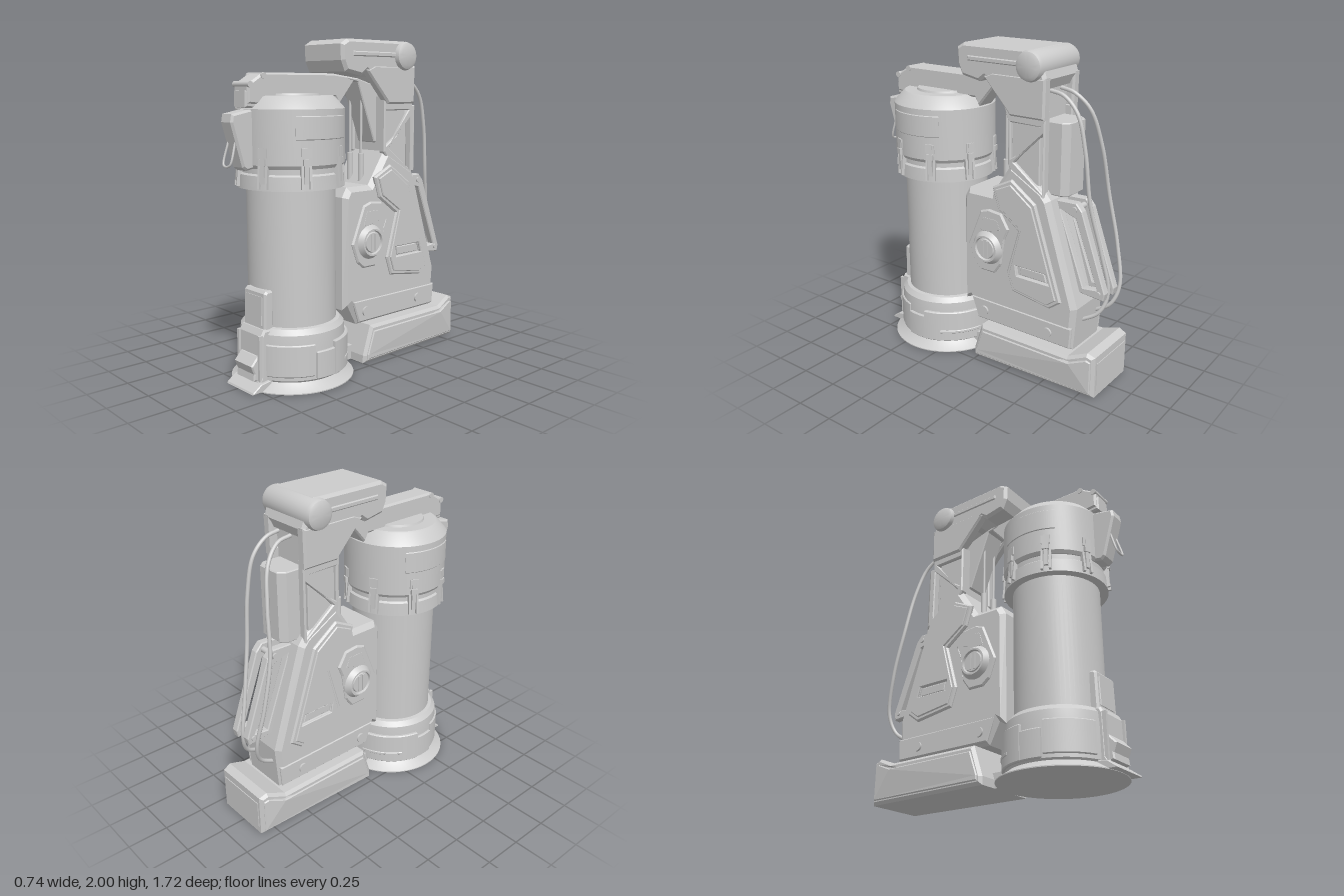
import * as THREE from 'three';
import { toCreasedNormals } from 'three/addons/utils/BufferGeometryUtils.js';

const CZ = 0.41; // canister axis
const V = (x, y, z) => new THREE.Vector3(x, y, z);
const v2 = (pts) => pts.map(([a, b]) => new THREE.Vector2(a, b));

export function createModel() {
  const root = new THREE.Group();
  const mat = new THREE.MeshStandardMaterial({ color: 0xcccccc, side: THREE.DoubleSide });

  const add = (name, geo, parent = root) => {
    const m = new THREE.Mesh(geo, mat);
    m.name = name;
    parent.add(m);
    return m;
  };
  const extrude = (shape, length, b) => new THREE.ExtrudeGeometry(shape, {
    depth: length - 2 * b, bevelEnabled: true, bevelThickness: b, bevelSize: b, bevelOffset: -b, bevelSegments: 1, curveSegments: 48,
  }).translate(0, 0, b - length / 2);
  // Bevelled plate: outline given as (z, y), thickness from x0 to x1
  const plate = (name, pts, x0, x1, b = 0.012, holes = []) => {
    const shape = new THREE.Shape(v2(pts));
    holes.forEach((h) => shape.holes.push(new THREE.Path(v2(h))));
    return add(name, extrude(shape, x1 - x0, b).rotateY(-Math.PI / 2).translate((x0 + x1) / 2, 0, 0));
  };
  // The same plate on both sides
  const pair = (name, pts, x0, x1, b, holes) => [
    plate(name + 'Left', pts, x0, x1, b, holes),
    plate(name + 'Right', pts, -x1, -x0, b, holes),
  ];
  const shrink = (pts, s) => {
    const n = pts.length;
    const cz = pts.reduce((a, p) => a + p[0], 0) / n, cy = pts.reduce((a, p) => a + p[1], 0) / n;
    return pts.map(([z, y]) => [cz + (z - cz) * s, cy + (y - cy) * s]);
  };
  const lathe = (pts, seg = 64) => toCreasedNormals(new THREE.LatheGeometry(v2(pts), seg), 0.5);
  const box = (name, w, h, d, x, y, z, parent) => {
    const m = add(name, new THREE.BoxGeometry(w, h, d), parent);
    m.position.set(x, y, z);
    return m;
  };
  const pin = (name, r, len, x, y, z) =>
    add(name, new THREE.CylinderGeometry(r, r, len, 24).rotateZ(Math.PI / 2)).position.set(x, y, z);

  // Canister: flared foot, base, tube, collar and domed cap
  const canister = (name, pts) => add(name, lathe(pts)).position.set(0, 0, CZ);
  canister('canisterFoot', [[0, 0], [0.37, 0], [0.37, 0.006], [0.31, 0.045], [0.3, 0.06]]);
  canister('canisterBase', [[0.3, 0.04], [0.316, 0.06], [0.316, 0.25], [0.31, 0.325], [0.285, 0.355], [0.262, 0.36]]);
  canister('canisterTube', [[0.263, 0.34], [0.263, 1.17]]);
  canister('canisterCollar', [[0.263, 1.15], [0.315, 1.15], [0.31, 1.23], [0.298, 1.24], [0.298, 1.28]]);
  canister('canisterCap', [[0.29, 1.27], [0.305, 1.27], [0.318, 1.29], [0.318, 1.6], [0.31, 1.61], [0.26, 1.665],
    [0.25, 1.672], [0.175, 1.672], [0.17, 1.685], [0, 1.685]]);
  // Closed shells wrapped around the canister, angles measured from the front
  const shell = (name, r, y0, y1, mid, half) => {
    const a = mid - half - Math.PI / 2, e = mid + half - Math.PI / 2;
    const shape = new THREE.Shape();
    shape.absarc(0, 0, r, a, e, false);
    shape.absarc(0, 0, r - 0.04, e, a, true);
    const g = extrude(shape, y1 - y0, 0.006).rotateX(-Math.PI / 2);
    add(name, toCreasedNormals(g, 0.4)).position.set(0, (y0 + y1) / 2, CZ);
  };
  for (const s of [1, -1]) {
    shell('capWindow', 0.322, 1.43, 1.565, s * Math.PI / 2, 0.58);
    shell('basePanel', 0.324, 0.08, 0.27, s * 0.86, 0.46);
    shell('baseSlot', 0.338, 0.115, 0.14, s * 2.5, 0.42);
  }
  shell('baseRearBand', 0.334, 0.06, 0.265, Math.PI, 1.4);
  shell('baseRearBandLow', 0.33, 0.06, 0.225, Math.PI, 1.8);

  // Eight clips around the cap joint
  for (let i = 0; i < 8; i++) {
    const clip = new THREE.Group();
    clip.name = 'clip' + (i + 1);
    clip.position.z = CZ;
    clip.rotation.y = (i + 0.5) * Math.PI / 4;
    root.add(clip);
    box('clipHead', 0.055, 0.055, 0.03, 0, 1.36, 0.31, clip);
    box('clipStrap', 0.024, 0.2, 0.022, 0, 1.29, 0.316, clip);
    box('clipLever', 0.04, 0.035, 0.035, 0, 1.31, 0.316, clip);
    for (const s of [1, -1]) box('clipRail', 0.014, 0.13, 0.03, s * 0.024, 1.225, 0.31, clip).rotation.x = -0.1;
  }

  // Front panel and pedal of the canister base, set slightly to one side
  plate('frontUpperPlate', [[0.64, 0.34], [0.705, 0.34], [0.7, 0.56], [0.685, 0.575], [0.64, 0.575]], -0.085, 0.12);
  plate('frontUpperInset', [[0.68, 0.37], [0.709, 0.37], [0.704, 0.54], [0.68, 0.54]], -0.06, 0.095, 0.004);
  plate('frontLowerPlate', [[0.64, 0.02], [0.77, 0.02], [0.74, 0.08], [0.735, 0.32], [0.715, 0.355], [0.64, 0.355]], -0.095, 0.13);
  plate('frontToe', [[0.68, 0.002], [0.815, 0.002], [0.81, 0.012], [0.755, 0.05], [0.68, 0.06]], -0.115, 0.15, 0.005);
  plate('frontPedal', [[0.71, 0.21], [0.745, 0.2], [0.79, 0.15], [0.77, 0.1], [0.775, 0.06], [0.73, 0.05]], -0.07, 0.105, 0.008);
  for (const x of [-0.083, 0.118]) box('frontRib', 0.018, 0.27, 0.03, x, 0.19, 0.735);

  // Carry arm over the cap with its front latch
  plate('carryArm', [[0.66, 1.62], [0.755, 1.63], [0.755, 1.735], [0.65, 1.8], [0.14, 1.8], [-0.05, 1.775], [0.09, 1.61], [0.12, 1.66], [0.6, 1.66]], -0.07, 0.07);
  plate('armGusset', [[0.02, 1.77], [-0.05, 1.775], [-0.24, 1.72], [-0.24, 1.36], [-0.2, 1.38], [-0.06, 1.75]], -0.075, 0.075, 0.006);
  plate('armBuckle', [[0.67, 1.6], [0.765, 1.61], [0.765, 1.7], [0.67, 1.72]], -0.06, 0.06, 0.01);
  pin('armPinFront', 0.018, 0.15, 0, 1.735, 0.742);
  pin('armPinTop', 0.018, 0.15, 0, 1.782, 0.65);
  plate('frontLatch', [[0.71, 1.6], [0.75, 1.595], [0.85, 1.575], [0.858, 1.53], [0.785, 1.28], [0.76, 1.26], [0.71, 1.27]], -0.055, 0.055);
  // Arched frame on the latch face
  const arch = new THREE.CatmullRomCurve3([V(-0.03, -0.12, 0), V(-0.034, 0, 0), V(-0.03, 0.07, 0), V(0, 0.12, 0),
    V(0.03, 0.07, 0), V(0.034, 0, 0), V(0.03, -0.12, 0)], true);
  const archMesh = add('latchArch', new THREE.TubeGeometry(arch, 48, 0.007, 6, true));
  archMesh.position.set(0, 1.41, 0.824);
  archMesh.rotation.x = -0.28;

  // Foot beam, tapering toward its rear end
  const beamOutline = [[0.02, 0.01], [0.02, 0.06], [-0.04, 0.245], [-0.68, 0.245], [-0.8, 0.295], [-0.85, 0.275], [-0.85, 0.01]];
  const beamInset = [[-0.005, 0.035], [-0.005, 0.065], [-0.055, 0.21], [-0.69, 0.21], [-0.8, 0.255], [-0.83, 0.245], [-0.83, 0.035]];
  for (const m of [plate('footBeam', beamOutline, -0.228, 0.228, 0.018), ...pair('beamInset', beamInset, 0.21, 0.236, 0.006)]) {
    const p = m.geometry.attributes.position;
    for (let i = 0; i < p.count; i++) p.setX(i, p.getX(i) * (1 - 0.12 * Math.max(0, (-p.getZ(i) - 0.68) / 0.17)));
    m.geometry.computeVertexNormals();
  }
  box('beamEndInset', 0.34, 0.18, 0.02, 0, 0.14, -0.845);
  box('footCoupling', 0.2, 0.09, 0.16, 0, 0.055, 0.06);

  // Main body housing
  plate('bodyHousing', [[0.1, 1.12], [0.135, 1.06], [0.135, 0.36], [0.09, 0.38], [0.02, 0.25], [-0.67, 0.25], [-0.69, 0.52], [-0.49, 1.15],
    [-0.45, 1.2], [-0.22, 1.33], [-0.08, 1.12]], -0.172, 0.172, 0.03);
  pair('bodySill', [[0.07, 0.405], [0.02, 0.265], [-0.665, 0.265], [-0.675, 0.4]], 0.155, 0.178, 0.008);
  const panel = [[-0.1, 1.17], [-0.24, 1.24], [-0.41, 1.12], [-0.6, 0.55], [-0.52, 0.49], [-0.25, 0.53], [-0.21, 0.65], [-0.29, 0.93], [-0.14, 1.04]];
  const panelFace = [[-0.13, 1.16], [-0.24, 1.21], [-0.39, 1.1], [-0.57, 0.56], [-0.51, 0.515], [-0.27, 0.55], [-0.235, 0.65], [-0.315, 0.945], [-0.165, 1.05]];
  const panelWindow = [[-0.28, 0.71], [-0.5, 0.71], [-0.52, 0.645], [-0.29, 0.645]];
  pair('sidePanel', panel, 0.155, 0.188, 0.01, [panelWindow]);
  pair('sidePanelFace', panelFace, 0.18, 0.197, 0.005, [panelWindow]);
  pair('panelWindowInset', shrink(panelWindow, 0.8), 0.155, 0.182, 0.004);
  const surround = [[0.085, 0.77], [-0.01, 1.0], [-0.07, 1.02], [-0.165, 1.01], [-0.22, 0.92], [-0.19, 0.85], [-0.165, 0.68], [-0.115, 0.61], [-0.01, 0.61], [0.04, 0.65]];
  pair('dialSurround', surround, 0.155, 0.186, 0.01, [shrink(surround, 0.82)]);
  pair('dialFlap', [[0, 0.87], [-0.03, 0.97], [-0.14, 0.97], [-0.17, 0.9], [-0.07, 0.87]], 0.155, 0.187, 0.008);
  for (const s of [1, -1]) {
    // Conical dial with a slotted hub
    const dial = add('dial', lathe([[0.112, 0], [0.11, 0.025], [0.085, 0.06], [0.074, 0.06], [0.07, 0.045], [0.064, 0.045], [0.06, 0.055], [0, 0.055]], 40)
      .rotateZ(-s * Math.PI / 2));
    dial.position.set(s * 0.157, 0.77, -0.065);
    for (const dz of [-0.016, 0.016]) box('dialRib', 0.01, 0.105, 0.012, s * 0.214, 0.77, -0.065 + dz);
    for (const z of [-0.035, -0.51]) pin('bodyBolt', 0.03, 0.03, s * 0.175, 0.33, z);
  }

  // Column: inner core, cut-out cheeks standing proud front and back, and the box behind
  plate('columnCore', [[-0.215, 1.66], [-0.41, 1.66], [-0.41, 1.15], [-0.3, 1.15], [-0.215, 1.32]], -0.145, 0.145, 0.006);
  pair('columnCheek', [[-0.2, 1.66], [-0.455, 1.66], [-0.455, 1.15], [-0.3, 1.15], [-0.2, 1.32]], 0.115, 0.168, 0.008,
    [[[-0.22, 1.575], [-0.42, 1.575], [-0.295, 1.41], [-0.22, 1.36]], [[-0.44, 1.535], [-0.44, 1.19], [-0.245, 1.34], [-0.285, 1.385]]]);
  const rearBox = new THREE.Shape(v2([[-0.11, 0.4], [-0.11, 0.53], [-0.075, 0.57], [0.075, 0.57], [0.11, 0.53], [0.11, 0.4]]));
  add('rearBox', extrude(rearBox, 0.43, 0.006).rotateX(-Math.PI / 2)).position.y = 1.388;

  // Overhanging head on an open neck, with a cross roller
  plate('head', [[0.115, 2], [0.165, 1.97], [0.16, 1.875], [0.13, 1.81], [0, 1.785], [-0.04, 1.815], [-0.09, 1.78], [-0.43, 1.78],
    [-0.46, 1.84], [-0.42, 1.96], [-0.37, 2]], -0.18, 0.18, 0.018);
  plate('neckCore', [[-0.1, 1.82], [-0.24, 1.68], [-0.24, 1.6], [-0.41, 1.6], [-0.41, 1.82]], -0.14, 0.14, 0.006);
  pair('neckCheek', [[-0.035, 1.82], [-0.2, 1.64], [-0.22, 1.615], [-0.455, 1.615], [-0.46, 1.85], [-0.1, 1.85]], 0.12, 0.184, 0.012);
  pair('headSlotBar', [[0.08, 1.9], [0.08, 1.93], [-0.3, 1.93], [-0.3, 1.9]], 0.17, 0.187, 0.006);
  add('headRoller', lathe([[0, -0.215], [0.06, -0.215], [0.08, -0.205], [0.088, -0.185], [0.088, 0.185], [0.08, 0.205], [0.06, 0.215], [0, 0.215]], 40)
    .rotateZ(Math.PI / 2)).position.set(0, 1.91, -0.36);

  // Rear linkage: two open frames joined by pins
  pair('rearLink', [[-0.46, 1.14], [-0.62, 1.145], [-0.66, 1.1], [-0.83, 0.63], [-0.82, 0.585], [-0.65, 0.6]],
    0.03, 0.08, 0.006, [[[-0.51, 1.09], [-0.62, 1.05], [-0.775, 0.645], [-0.685, 0.635]]]);
  pin('linkPinTop', 0.018, 0.18, 0, 1.105, -0.61);
  pin('linkPinBottom', 0.015, 0.18, 0, 0.625, -0.79);

  // Thin rods between arm and body
  for (const s of [1, -1]) {
    add('rod', new THREE.CylinderGeometry(0.008, 0.008, 0.5, 12)).position.set(s * 0.05, 1.45, -0.11);
    add('rodSleeve', new THREE.CylinderGeometry(0.02, 0.02, 0.18, 12)).position.set(s * 0.05, 1.22, -0.11);
  }
  // Two cables hanging down the back: shared drop (y, z), each with its own sideways drift
  const drop = [[1.77, -0.43], [1.75, -0.52], [1.66, -0.61], [1.45, -0.665], [1.15, -0.7], [0.85, -0.765], [0.6, -0.81], [0.48, -0.77], [0.41, -0.66]];
  const drift = [
    [-0.03, -0.03, -0.06, -0.11, -0.16, -0.17, -0.14, -0.11, -0.1],
    [0.08, 0.08, 0.08, 0.075, 0.06, 0.02, 0, 0.03, 0.06],
  ];
  for (const xs of drift) {
    const curve = new THREE.CatmullRomCurve3(drop.map(([y, z], i) => V(xs[i], y, z)));
    add('cable', new THREE.TubeGeometry(curve, 64, 0.012, 8));
  }
  return root;
}
